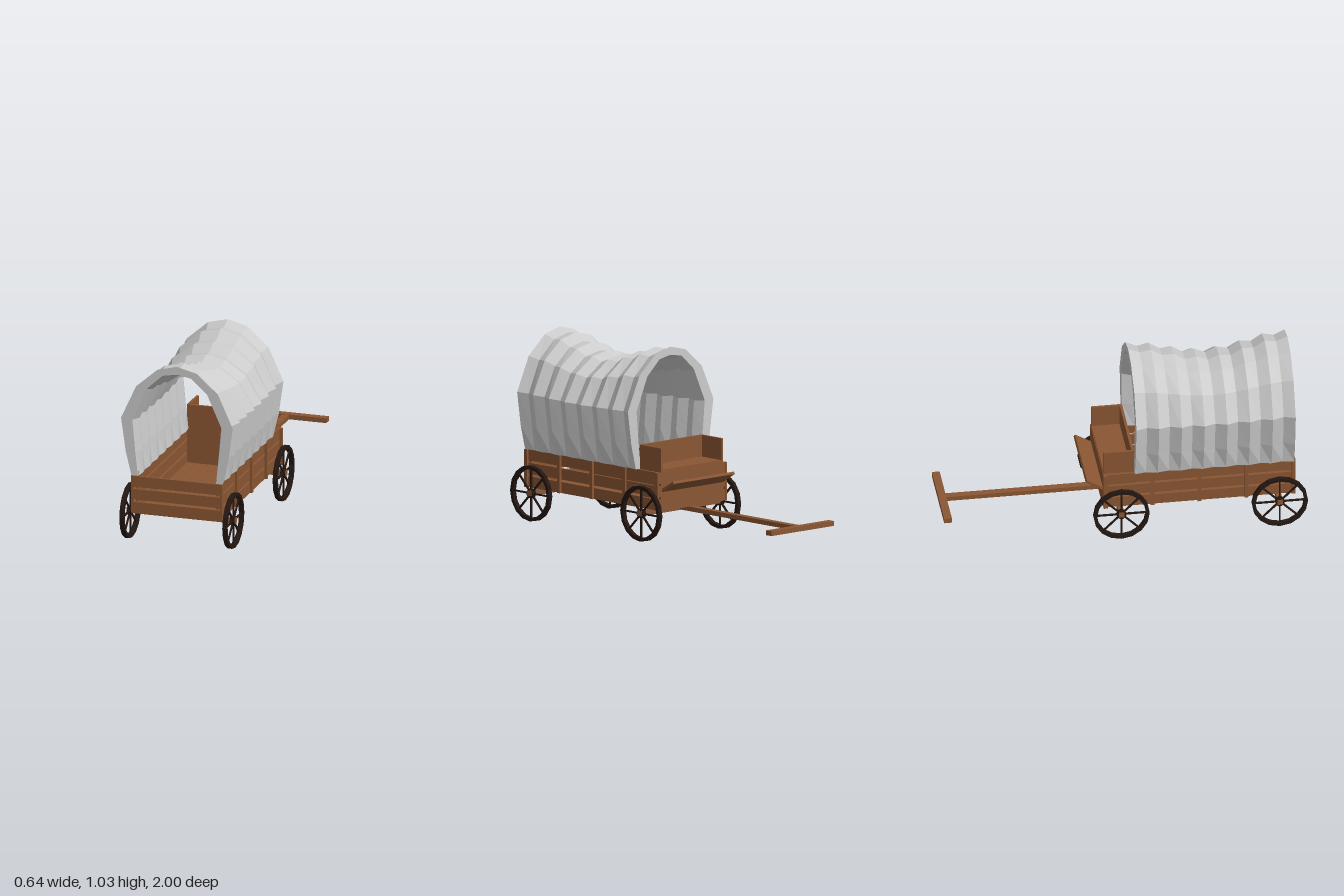
import * as THREE from 'three';

const wood = new THREE.MeshStandardMaterial({ color: 0x8a5633, flatShading: true });
const darkWood = new THREE.MeshStandardMaterial({ color: 0x241712, flatShading: true });
const cloth = new THREE.MeshStandardMaterial({ color: 0xcccccc, flatShading: true });

// Box given by its [min, max] range on each axis
function box(parent, name, x, y, z, mat = wood) {
  const geo = new THREE.BoxGeometry(x[1] - x[0], y[1] - y[0], z[1] - z[0]);
  const mesh = new THREE.Mesh(geo, mat);
  mesh.position.set((x[0] + x[1]) / 2, (y[0] + y[1]) / 2, (z[0] + z[1]) / 2);
  mesh.name = name;
  parent.add(mesh);
  return mesh;
}

// Spoked wheel turning about the x axis
function makeWheel(name) {
  const wheel = new THREE.Group();
  wheel.name = name;
  const section = [[0.135, -0.0125], [0.155, -0.0125], [0.155, 0.0125], [0.135, 0.0125], [0.135, -0.0125]];
  const rim = new THREE.Mesh(
    new THREE.LatheGeometry(section.map(p => new THREE.Vector2(...p)), 16), darkWood);
  rim.rotation.z = Math.PI / 2;
  rim.name = 'rim';
  wheel.add(rim);
  const hub = new THREE.Mesh(new THREE.CylinderGeometry(0.026, 0.026, 0.025, 10), darkWood);
  hub.rotation.z = Math.PI / 2;
  hub.name = 'hub';
  wheel.add(hub);
  for (let i = 0; i < 4; i++) {
    const spokes = new THREE.Mesh(new THREE.BoxGeometry(0.009, 0.28, 0.009), darkWood);
    spokes.rotation.x = i * Math.PI / 4;
    spokes.name = 'spokePair';
    wheel.add(spokes);
  }
  return wheel;
}

// Thick pleated cover: an arch section swept along z, sagging in the middle
function makeCanopy() {
  // x, y, share of the sag, drop in the pleat valleys
  const outer = [[0.262, 0.385, 0, 0], [0.295, 0.52, 0, 0], [0.322, 0.71, 0.1, 0.005],
    [0.235, 0.90, 0.6, 0.015], [0.112, 1.007, 0.9, 0.02], [0, 1.035, 1, 0.022]];
  const inner = [[0.225, 0.385, 0, 0], [0.24, 0.52, 0, 0], [0.257, 0.705, 0.1, 0.005],
    [0.175, 0.89, 0.6, 0.015], [0.083, 0.975, 0.9, 0.02], [0, 0.99, 1, 0.022]];
  const arch = half => [...half, ...half.slice(0, -1).reverse().map(([x, ...r]) => [-x, ...r])];
  const ring = [...arch(outer), ...arch(inner).reverse()];
  const n = ring.length, steps = 14, pos = [], index = [];
  for (let i = 0; i <= steps; i++) {
    const t = i / steps, valley = i % 2;
    const sag = 0.09 * (1 - Math.cos(2 * Math.PI * t)) / 2;
    for (const [x, y, s, d] of ring) {
      const pinch = y > 0.4 ? 0.915 : 0.96;
      pos.push(x * (valley ? pinch : 1), y - s * sag - valley * d, 0.93 - 0.88 * t);
    }
  }
  for (let i = 0; i < steps; i++) {
    for (let j = 0; j < n; j++) {
      const k = (j + 1) % n;
      const a = i * n + j, b = i * n + k, c = a + n, d = b + n;
      index.push(a, c, b, b, c, d);
    }
  }
  // End faces between the outer and inner arch
  const last = steps * n;
  for (let j = 0; j < n / 2 - 1; j++) {
    const a = j, b = j + 1, c = n - 2 - j, d = n - 1 - j;
    index.push(a, b, c, a, c, d);
    index.push(last + a, last + c, last + b, last + a, last + d, last + c);
  }
  const indexed = new THREE.BufferGeometry();
  indexed.setAttribute('position', new THREE.Float32BufferAttribute(pos, 3));
  indexed.setIndex(index);
  const geo = indexed.toNonIndexed();
  geo.computeVertexNormals();
  const mesh = new THREE.Mesh(geo, cloth);
  mesh.name = 'canopy';
  return mesh;
}

export function createModel() {
  const wagon = new THREE.Group();
  wagon.name = 'coveredWagon';

  // Wheels and axles
  for (const [end, z] of [['front', 0.845], ['rear', -0.03]]) {
    box(wagon, end + 'Axle', [-0.314, 0.314], [0.143, 0.172], [z - 0.015, z + 0.015]);
    for (const s of [1, -1]) {
      const wheel = makeWheel(end + (s > 0 ? 'LeftWheel' : 'RightWheel'));
      wheel.position.set(s * 0.2965, 0.155, z);
      wagon.add(wheel);
    }
  }

  // Pulling pole and cross handle
  box(wagon, 'pole', [-0.02, 0.02], [0.146, 0.171], [-0.96, 0.845]);
  box(wagon, 'handle', [-0.235, 0.235], [0.146, 0.173], [-1, -0.957]);

  // Floor boards
  const boards = 8, width = 0.47 / boards;
  for (let i = 0; i < boards; i++) {
    const x = -0.235 + i * width;
    box(wagon, 'floorBoard', [x + 0.001, x + width - 0.001], [0.172, 0.187], [-0.12, 0.935]);
  }

  // Side and front planks
  for (const y of [0.175, 0.25, 0.324]) {
    const rows = [y, y + 0.061];
    for (const s of [1, -1]) {
      box(wagon, 'sidePlank', s > 0 ? [0.235, 0.25] : [-0.25, -0.235], rows, [-0.12, 0.94]);
    }
    box(wagon, 'frontPlank', [-0.235, 0.235], rows, [0.925, 0.94]);
  }

  // Upright posts
  for (const s of [1, -1]) {
    const span = (a, b) => (s > 0 ? [a, b] : [-b, -a]);
    for (let i = 0; i < 5; i++) {
      const z = 0.925 - i * 0.259;
      box(wagon, 'sidePost', span(0.249, 0.263), [0.175, 0.385], [z - 0.011, z + 0.011]);
    }
    box(wagon, 'cornerPost', span(0.225, 0.238), [0.175, 0.407], [0.905, 0.926]);
    // Seat ends
    box(wagon, 'seatEnd', span(0.221, 0.235), [0.175, 0.52], [-0.12, 0.045]);
  }

  // Driver's seat
  box(wagon, 'seatBack', [-0.222, 0.222], [0.185, 0.52], [0.035, 0.05]);
  box(wagon, 'seat', [-0.222, 0.222], [0.385, 0.4], [-0.12, 0.036]);
  box(wagon, 'seatFront', [-0.235, 0.235], [0.172, 0.39], [-0.123, -0.108]);

  // Sloping foot board
  const foot = box(wagon, 'footBoard', [-0.23, 0.23], [0.304, 0.319], [-0.222, -0.108]);
  foot.rotation.x = 0.54;

  wagon.add(makeCanopy());
  return wagon;
}
